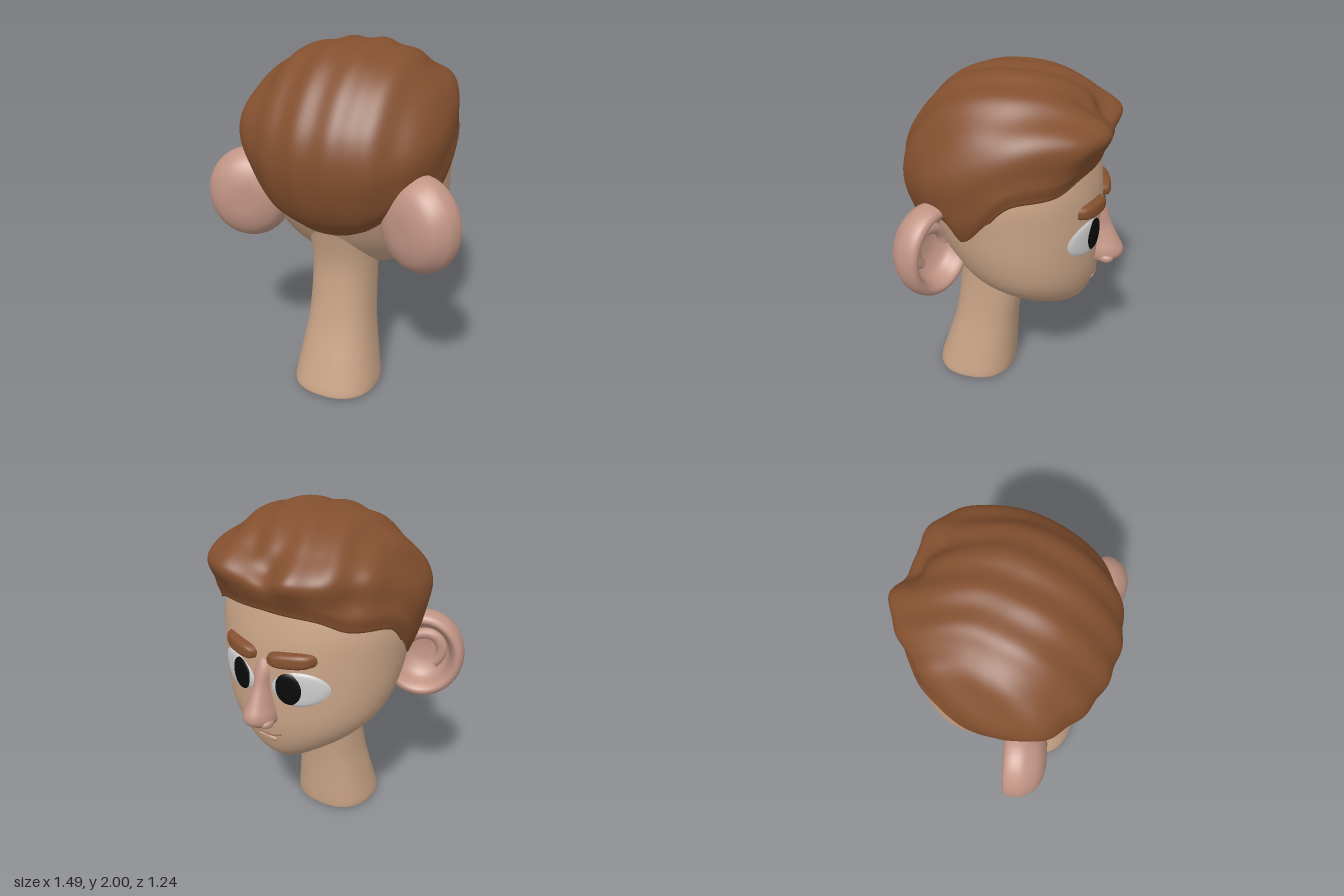
import * as THREE from 'three';

const SKIN = 0xc8a386, PINK = 0xc09484, HAIR = 0x84502f;

// Cross-sections as [y, half width, z of face side, z of back side], bottom to top
const HEAD = [
  [0.6, 0, -0.24, -0.24], [0.62, 0.11, -0.34, -0.11], [0.68, 0.21, -0.412, 0.02],
  [0.78, 0.35, -0.455, 0.18], [0.9, 0.455, -0.475, 0.31], [1.05, 0.51, -0.48, 0.41],
  [1.25, 0.535, -0.48, 0.5], [1.45, 0.54, -0.46, 0.53], [1.65, 0.47, -0.4, 0.46],
  [1.8, 0.3, -0.25, 0.28], [1.85, 0, 0.02, 0.02]];
const NECK = [
  [0.004, 0, 0.26, 0.26], [0.006, 0.2, 0.07, 0.45], [0.014, 0.238, 0.033, 0.488],
  [0.04, 0.25, 0.02, 0.5], [0.2, 0.225, 0.012, 0.45], [0.4, 0.195, 0, 0.39],
  [0.6, 0.182, -0.025, 0.355], [0.8, 0.178, -0.04, 0.345], [1.0, 0.178, 0, 0.385],
  [1.15, 0.17, 0.1, 0.43], [1.25, 0.1, 0.1, 0.3]];
const NOSE = [
  [0.89, 0, -0.48, -0.48], [0.905, 0.06, -0.555, -0.4], [0.94, 0.085, -0.61, -0.38],
  [0.985, 0.083, -0.617, -0.38], [1.05, 0.065, -0.585, -0.38], [1.14, 0.048, -0.54, -0.38],
  [1.24, 0.052, -0.505, -0.38], [1.34, 0, -0.45, -0.45]];
const SCALP = [
  [0.97, 0.29, -0.3, 0.37], [1.12, 0.46, -0.42, 0.51], [1.28, 0.54, -0.47, 0.585],
  [1.45, 0.578, -0.48, 0.612], [1.6, 0.567, -0.495, 0.585], [1.74, 0.52, -0.535, 0.505],
  [1.85, 0.43, -0.41, 0.41], [1.93, 0.31, -0.28, 0.3], [1.975, 0.16, -0.14, 0.17],
  [1.985, 0, 0.02, 0.02]];
// Height of the hair edge by angle, from the nape (0) to the forehead (pi)
const HAIRLINE = [
  [0, 0.98], [0.45, 1.005], [0.75, 1.11], [0.95, 1.25], [1.2, 1.3], [1.35, 1.08],
  [1.47, 1.13], [1.63, 1.31], [1.76, 1.41], [1.93, 1.465], [2.33, 1.48], [2.65, 1.54],
  [3.15, 1.56]];
// Swells and hollows of the hair as [x, y, z, radius, strength]
const HAIR_FORMS = [
  [0.3, 1.68, -0.46, 0.17, 0.06], [-0.2, 1.68, -0.5, 0.12, 0.04], [0.13, 1.98, 0, 0.14, 0.02],
  [-0.02, 1.78, -0.5, 0.1, -0.1], [-0.43, 1.82, 0, 0.22, -0.035], [-0.46, 1.6, 0.38, 0.17, 0.06],
  [0.1, 1.86, -0.4, 0.1, -0.03], [-0.45, 1.65, -0.33, 0.15, -0.04]]
  .map(([x, y, z, r, k]) => ({ at: new THREE.Vector3(x, y, z), r, k }));

// Smooth interpolation through a table of cross-sections
function sample(rows, s) {
  const last = rows.length - 1, i = Math.min(Math.floor(s), last - 1), t = s - i;
  const row = k => rows[Math.max(0, Math.min(last, k))];
  return rows[0].map((_, c) => {
    const [a, b, d, e] = [row(i - 1)[c], row(i)[c], row(i + 1)[c], row(i + 2)[c]];
    return b + 0.5 * t * (d - a + t * (2 * a - 5 * b + 4 * d - e + t * (3 * (b - d) + e - a)));
  });
}

// Position in a table at which its first column reaches a value
function levelAt(rows, value) {
  let lo = 0, hi = rows.length - 1;
  for (let k = 0; k < 24; k++) {
    const mid = (lo + hi) / 2;
    if (sample(rows, mid)[0] < value) lo = mid; else hi = mid;
  }
  return lo;
}

const soft = (v, p) => Math.sign(v) * Math.abs(v) ** p;
const ss = THREE.MathUtils.smoothstep;

function sectionPoint(rows, s, a, p = 1) {
  const [y, hx, zf, zb] = sample(rows, s);
  return new THREE.Vector3(hx * soft(Math.sin(a), p), y,
    (zf + zb) / 2 + (zb - zf) / 2 * soft(Math.cos(a), p));
}

// Grid of n strips by m columns, closed around
function surface(n, m, pointAt) {
  const pos = [], index = [];
  for (let i = 0; i <= n; i++) for (let j = 0; j < m; j++) {
    pos.push(...pointAt(i / n, j / m * Math.PI * 2, i).toArray());
    if (i === n) continue;
    const k = (j + 1) % m, A = i * m + j, B = i * m + k;
    index.push(A, B, B + m, A, B + m, A + m);
  }
  const g = new THREE.BufferGeometry();
  g.setAttribute('position', new THREE.Float32BufferAttribute(pos, 3));
  g.setIndex(index);
  g.computeVertexNormals();
  return g;
}

const loft = (rows, n, m, p) =>
  surface(n, m, (t, a) => sectionPoint(rows, t * (rows.length - 1), a, p));

// Depth of the face surface at x, y
function faceZ(x, y) {
  const [, hx, zf, zb] = sample(HEAD, levelAt(HEAD, y));
  return (zf + zb) / 2 - (zb - zf) / 2 * Math.sqrt(Math.max(0, 1 - (x / hx) ** 2));
}

// Raised pad that follows the face
function pad(cx, cy, rx, ry, power, tilt, base, lift) {
  return surface(12, 40, (r, a) => {
    const u = r * rx * soft(Math.cos(a), power), v = r * ry * soft(Math.sin(a), power);
    const x = cx + u * Math.cos(tilt) - v * Math.sin(tilt);
    const y = cy + u * Math.sin(tilt) + v * Math.cos(tilt);
    return new THREE.Vector3(x, y, faceZ(x, y) - base - lift * Math.sqrt(1 - r ** 4));
  });
}

function hairGeometry() {
  const n = 80, centre = new THREE.Vector3(0, 1.4, 0.05);
  const starts = new Map();
  return surface(n, 216, (_, a, i) => {
    if (!starts.has(a)) {
      const edge = sample(HAIRLINE, levelAt(HAIRLINE, Math.min(a, Math.PI * 2 - a)))[1];
      starts.set(a, levelAt(SCALP, edge));
    }
    const t = Math.max(0, (i - 1) / (n - 1)), s0 = starts.get(a);
    const v = sectionPoint(SCALP, s0 + (SCALP.length - 1 - s0) * t, a, 0.93);
    // Strands sweep from the fringe round the crown and down the back
    const bend = v.x + 0.12 * (1 - ss(v.z, -0.45, 0));
    let ridge = 0.011 * Math.sin(33 * bend - 2.7);
    ridge += 0.03 * v.x * v.x * Math.sin(20 * (v.y + 0.45 * v.z));
    for (const { at, r, k } of HAIR_FORMS) ridge += k * Math.exp(-v.distanceToSquared(at) / (r * r));
    // Thin towards the edge, which is tucked into the head
    const scale = (1 + ridge * ss(t, 0, 0.25)) * (1 - 0.03 * (1 - ss(t, 0, 0.1)));
    v.sub(centre).multiplyScalar(scale).add(centre);
    if (i === 0) v.set(v.x * 0.86, v.y, 0.05 + (v.z - 0.05) * 0.86);
    return v;
  });
}

// Bowl with a rounded rim, opening towards the face
function earGeometry() {
  const profile = [[0, -0.115], [0.1, -0.11], [0.19, -0.073], [0.24, -0.005], [0.249, 0.05],
    [0.236, 0.1], [0.205, 0.115], [0.178, 0.085], [0.15, 0.02], [0.08, -0.02], [0, -0.03]];
  const curve = new THREE.SplineCurve(profile.map(p => new THREE.Vector2(...p)));
  const pts = curve.getPoints(50).map(p => p.setX(Math.max(0, p.x)));
  return new THREE.LatheGeometry(pts, 56).rotateX(-Math.PI / 2).scale(0.95, 1.05, 1);
}

export function createModel() {
  const model = new THREE.Group();
  const add = (name, geometry, color, parent = model) => {
    const mesh = new THREE.Mesh(geometry, new THREE.MeshStandardMaterial({ color }));
    mesh.name = name;
    parent.add(mesh);
    return mesh;
  };

  add('neck', loft(NECK, 80, 64, 0.85).translate(0, -0.004, 0), SKIN);
  add('head', loft(HEAD, 70, 80), SKIN);
  add('hair', hairGeometry(), HAIR);
  add('nose', loft(NOSE, 42, 36), PINK);

  // Mouth
  const smile = [[-0.1, 0.837], [-0.05, 0.819], [0, 0.815], [0.05, 0.819], [0.1, 0.837]]
    .map(([x, y]) => new THREE.Vector3(x, y, faceZ(x, y)));
  add('mouthLine', new THREE.TubeGeometry(new THREE.CatmullRomCurve3(smile), 32, 0.006, 10), 0x9c6c5c);
  add('lowerLip', pad(0, 0.79, 0.07, 0.024, 1, 0, -0.006, 0.016), SKIN);

  for (const side of [1, -1]) {
    const prefix = side > 0 ? 'left' : 'right';
    const nostril = add(prefix + 'Nostril', new THREE.SphereGeometry(0.034, 20, 14), PINK);
    nostril.position.set(side * 0.06, 0.938, -0.53);
    nostril.scale.set(1, 0.9, 1.3);

    // Eye
    add(prefix + 'Eye', pad(side * 0.205, 1.145, 0.148, 0.1, 1.05, side * 0.12, 0, 0.014), 0xcccccc);
    add(prefix + 'Pupil', pad(side * 0.16, 1.145, 0.076, 0.092, 1, 0, 0.008, 0.01), 0x0a0a0a);
    add(prefix + 'Brow', pad(side * 0.165, 1.31, 0.128, 0.044, 0.65, side * 0.08, 0, 0.045), HAIR);

    // Ear
    const ear = new THREE.Group();
    ear.name = prefix + 'Ear';
    ear.position.set(side * 0.5, 1.143, 0.358);
    ear.rotation.y = -side * 0.38;
    add('earShell', earGeometry(), PINK, ear);
    const fold = add('earFold', new THREE.TorusGeometry(0.1, 0.03, 12, 32, Math.PI * 1.3), PINK, ear);
    fold.position.z = -0.01;
    fold.scale.set(side, 1.15, 1);
    fold.rotation.z = -side * 0.8;
    model.add(ear);
  }
  return model;
}
